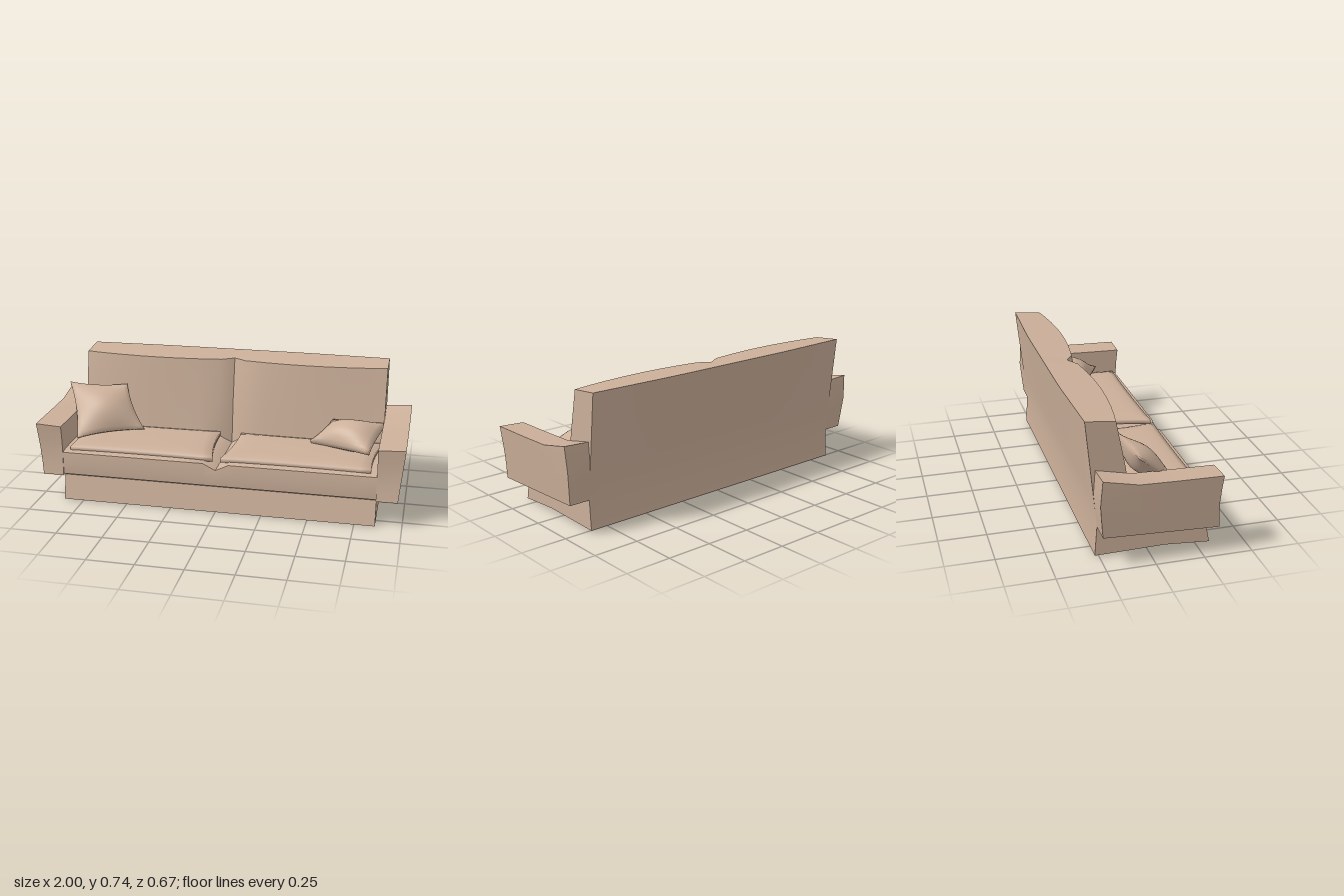
import * as THREE from 'three';
import { mergeVertices, toCreasedNormals } from 'three/addons/utils/BufferGeometryUtils.js';

const fabric = new THREE.MeshStandardMaterial({ color: 0xccb09a, side: THREE.DoubleSide });

function addMesh(parent, name, geometry) {
  const mesh = new THREE.Mesh(geometry, fabric);
  mesh.name = name;
  parent.add(mesh);
  return mesh;
}

// Skin closed cross-sections (arrays of [x, y, z], running up the front and down the back)
// from low x to high x, and cap both ends.
function loft(sections, crease = 0.7) {
  const n = sections[0].length, last = (sections.length - 1) * n, index = [];
  for (let i = 0; i < sections.length - 1; i++) {
    for (let j = 0; j < n; j++) {
      const k = (j + 1) % n;
      const a = i * n + j, b = a + n, c = (i + 1) * n + k, d = i * n + k;
      index.push(a, b, c, a, c, d);
    }
  }
  const cap = (s) => THREE.ShapeUtils.triangulateShape(s.map((p) => new THREE.Vector2(p[2], p[1])), []);
  cap(sections[0]).forEach(([a, b, c]) => index.push(a, b, c));
  cap(sections[sections.length - 1]).forEach(([a, b, c]) => index.push(last + a, last + c, last + b));
  const geo = new THREE.BufferGeometry();
  geo.setAttribute('position', new THREE.Float32BufferAttribute(sections.flat(2), 3));
  geo.setIndex(index);
  return toCreasedNormals(geo, crease);
}

// Stuffed cushion stretched between four corners: puffed in the middle, edges pinched inward.
// Corners run counter-clockwise seen from the cushion's front.
function cushion(corners, { puff, rim, pinch, power }) {
  const [a, b, c, d] = corners.map((p) => new THREE.Vector3(...p));
  const normal = new THREE.Vector3().subVectors(c, a).cross(new THREE.Vector3().subVectors(d, b)).normalize();
  let geo = new THREE.BoxGeometry(2, 2, 2, 14, 14, 1);
  geo.deleteAttribute('normal');
  geo.deleteAttribute('uv');
  geo = mergeVertices(geo);
  const pos = geo.attributes.position, low = new THREE.Vector3(), high = new THREE.Vector3();
  for (let i = 0; i < pos.count; i++) {
    const u = pos.getX(i), v = pos.getY(i), side = pos.getZ(i);
    const s = (u * (1 - pinch * (1 - v * v)) + 1) / 2;
    const t = (v * (1 - pinch * (1 - u * u)) + 1) / 2;
    const fill = (1 - Math.abs(u) ** power) * (1 - Math.abs(v) ** power);
    low.lerpVectors(a, b, s);
    high.lerpVectors(d, c, s);
    low.lerp(high, t).addScaledVector(normal, side * (rim + puff * fill));
    pos.setXYZ(i, low.x, low.y, low.z);
  }
  geo.computeVertexNormals();
  return geo;
}

// Cross-section of plinth, seat and backrest; it swells at each seat and dips at the middle seam.
function bodySection(x) {
  const r = Math.abs(x);
  const swell = Math.max(0, 1 - ((r - 0.43) / 0.43) ** 2);
  const seam = Math.max(0, 1 - r / 0.07);
  const rear = -0.32 - 0.015 * Math.min(1, (0.86 - r) / 0.46);
  return [
    [0.325, 0], [0.297, 0.138], [0.318, 0.15], [0.323, 0.21],
    [0.318, 0.275 - 0.035 * seam],
    [0.28, 0.285 - 0.045 * seam],
    [-0.09 + 0.015 * swell - 0.03 * seam, 0.29 - 0.05 * seam],
    [-0.12 + 0.02 * swell - 0.03 * seam, 0.48],
    [-0.168 + 0.04 * swell - 0.03 * seam, 0.72],
    [rear, 0.735], [-0.278, 0.33], [-0.262, 0.17], [-0.273, 0.01], [0.09, 0.017],
  ].map(([z, y]) => [x, y, z]);
}

// Side outline of an armrest [z, y]
const armOutline = [
  [0.332, 0.145], [0.325, 0.21], [0.322, 0.29], [0.326, 0.36], [0.333, 0.437],
  [0.1, 0.441], [-0.09, 0.446], [-0.27, 0.485], [-0.279, 0.35], [-0.27, 0.25], [-0.262, 0.17],
];

export function createModel() {
  const sofa = new THREE.Group();
  sofa.name = 'sofa';

  // Seat base and backrest
  const half = [0.07, 0.2, 0.32, 0.43, 0.54, 0.66, 0.77, 0.86];
  const stations = [...half.map((x) => -x).reverse(), 0, ...half];
  addMesh(sofa, 'seatBaseAndBackrest', loft(stations.map(bodySection)));

  // Armrests, flaring outward towards the top
  const inner = armOutline.map(([z, y]) => [0.858, y - (y > 0.4 ? 0.008 : 0), z]);
  const outer = armOutline.map(([z, y]) => [0.972 + 0.028 * Math.min(1, (y - 0.145) / 0.29), y, z]);
  const flip = (s) => s.map(([x, y, z]) => [-x, y, z]);
  addMesh(sofa, 'leftArmrest', loft([inner, outer]));
  addMesh(sofa, 'rightArmrest', loft([flip(outer), flip(inner)]));

  // Seat cushions
  const seat = { puff: 0.012, rim: 0.012, pinch: 0.035, power: 6 };
  const corners = [[0.02, 0.29, 0.29], [0.825, 0.29, 0.29], [0.855, 0.3, -0.09], [0.06, 0.3, -0.09]];
  addMesh(sofa, 'leftSeatCushion', cushion(corners, seat));
  addMesh(sofa, 'rightSeatCushion', cushion(flip(corners).map((p, i, s) => s[[1, 0, 3, 2][i]]), seat));

  // Throw pillows: one leaning on the right arm, one slumped by the left arm
  addMesh(sofa, 'rightThrowPillow', cushion(
    [[-0.82, 0.315, 0.19], [-0.485, 0.325, 0.0], [-0.61, 0.555, -0.1], [-0.945, 0.555, -0.075]],
    { puff: 0.06, rim: 0.006, pinch: 0.09, power: 2 }));
  addMesh(sofa, 'leftThrowPillow', cushion(
    [[0.47, 0.33, 0.01], [0.8, 0.345, 0.17], [0.865, 0.42, -0.1], [0.58, 0.425, -0.09]],
    { puff: 0.065, rim: 0.012, pinch: 0.05, power: 2.5 }));

  return sofa;
}
